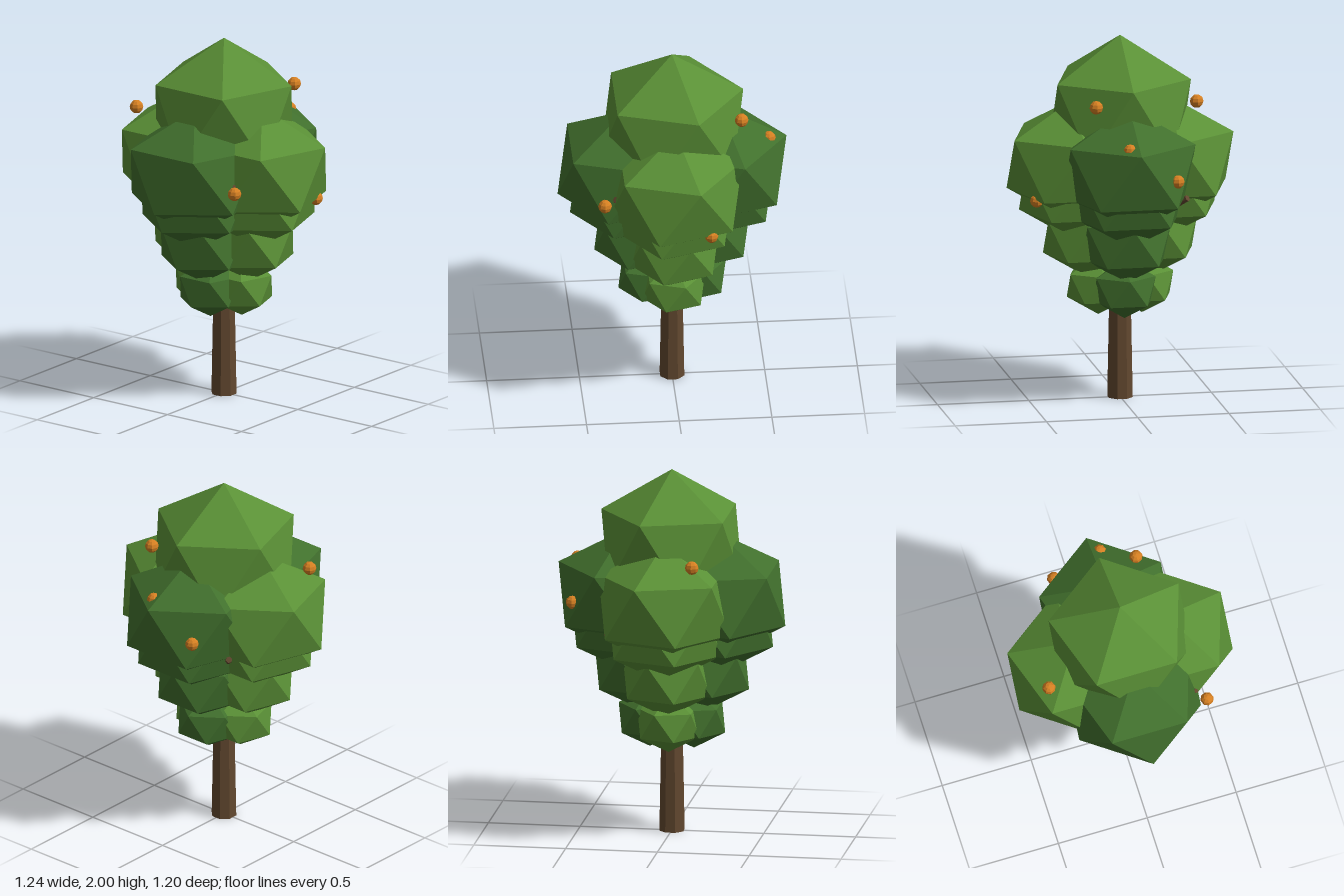
import * as THREE from 'three';

const mat = (name, color) => {
  const m = new THREE.MeshStandardMaterial({ color });
  m.name = name;
  return m;
};

// Give every face its own normal for the faceted look
const facet = (geometry) => {
  const g = geometry.index ? geometry.toNonIndexed() : geometry;
  g.computeVertexNormals();
  return g;
};

export function createModel() {
  const tree = new THREE.Group();
  tree.name = 'fruitTree';

  const lightLeaf = mat('light leaf green', 0x5a9036);
  const darkLeaf = mat('dark leaf green', 0x41702d);
  const bark = mat('bark brown', 0x62482f);
  const orange = mat('fruit orange', 0xd68022);

  const add = (name, geometry, material, x, y, z) => {
    const mesh = new THREE.Mesh(geometry, material);
    mesh.name = name;
    mesh.position.set(x, y, z);
    tree.add(mesh);
    return mesh;
  };

  // Trunk, slightly tapered and running up inside the crown
  const trunkHeight = 1.3;
  const trunkGeo = facet(new THREE.CylinderGeometry(0.045, 0.07, trunkHeight, 8));
  add('trunk', trunkGeo, bark, 0, trunkHeight / 2, 0).rotation.y = Math.PI / 8;

  // Thin branches whose tips peek out between the leaf clumps
  const branch = (from, to) => {
    const a = new THREE.Vector3(...from);
    const dir = new THREE.Vector3(...to).sub(a);
    const geo = facet(new THREE.CylinderGeometry(0.018, 0.03, dir.length(), 6));
    const mid = a.clone().addScaledVector(dir, 0.5);
    const mesh = add('branch', geo, bark, mid.x, mid.y, mid.z);
    mesh.quaternion.setFromUnitVectors(new THREE.Vector3(0, 1, 0), dir.normalize());
  };
  branch([0, 1.0, 0], [-0.33, 1.3, 0.33]);
  branch([0, 0.9, 0], [0.31, 1.155, -0.31]);

  // Leaf clump: icosahedron standing on a corner, upper ring corner towards +x
  const clumpGeo = new THREE.IcosahedronGeometry(1, 0);
  clumpGeo.rotateZ(-Math.atan(2 / (1 + Math.sqrt(5))));
  const clump = (name, material, radius, height, x, y, z) => {
    const geo = facet(clumpGeo.clone().scale(radius, height, radius));
    add(name, geo, material, x, y, z);
  };

  // Four tiers of four clumps: [centre height, distance from trunk, radius]
  const tiers = [
    [0.625, 0.12, 0.19],
    [0.9, 0.18, 0.268],
    [1.17, 0.24, 0.347],
    [1.31, 0.258, 0.402],
  ];
  for (const [y, d, r] of tiers) {
    for (const s of [1, -1]) {
      clump('sideLeaves', darkLeaf, r, r * 0.862, s * d, y, 0);
      clump(s > 0 ? 'frontLeaves' : 'backLeaves', lightLeaf, r, r * 0.862, 0, y, s * d);
    }
  }
  clump('topLeaves', lightLeaf, 0.43, 0.423, 0, 1.577, 0);

  // Small round fruits, some half sunk in the leaves
  const fruitGeo = facet(new THREE.SphereGeometry(0.037, 8, 6));
  const fruits = [
    [0.36, 1.69, 0.2],
    [-0.39, 1.285, 0.37],
    [0.175, 1.145, 0.49],
    [0.52, 1.48, 0.045],
    [-0.18, 1.57, -0.455],
    [0.507, 1.295, -0.218],
  ];
  for (const [x, y, z] of fruits) add('fruit', fruitGeo, orange, x, y, z);

  return tree;
}
